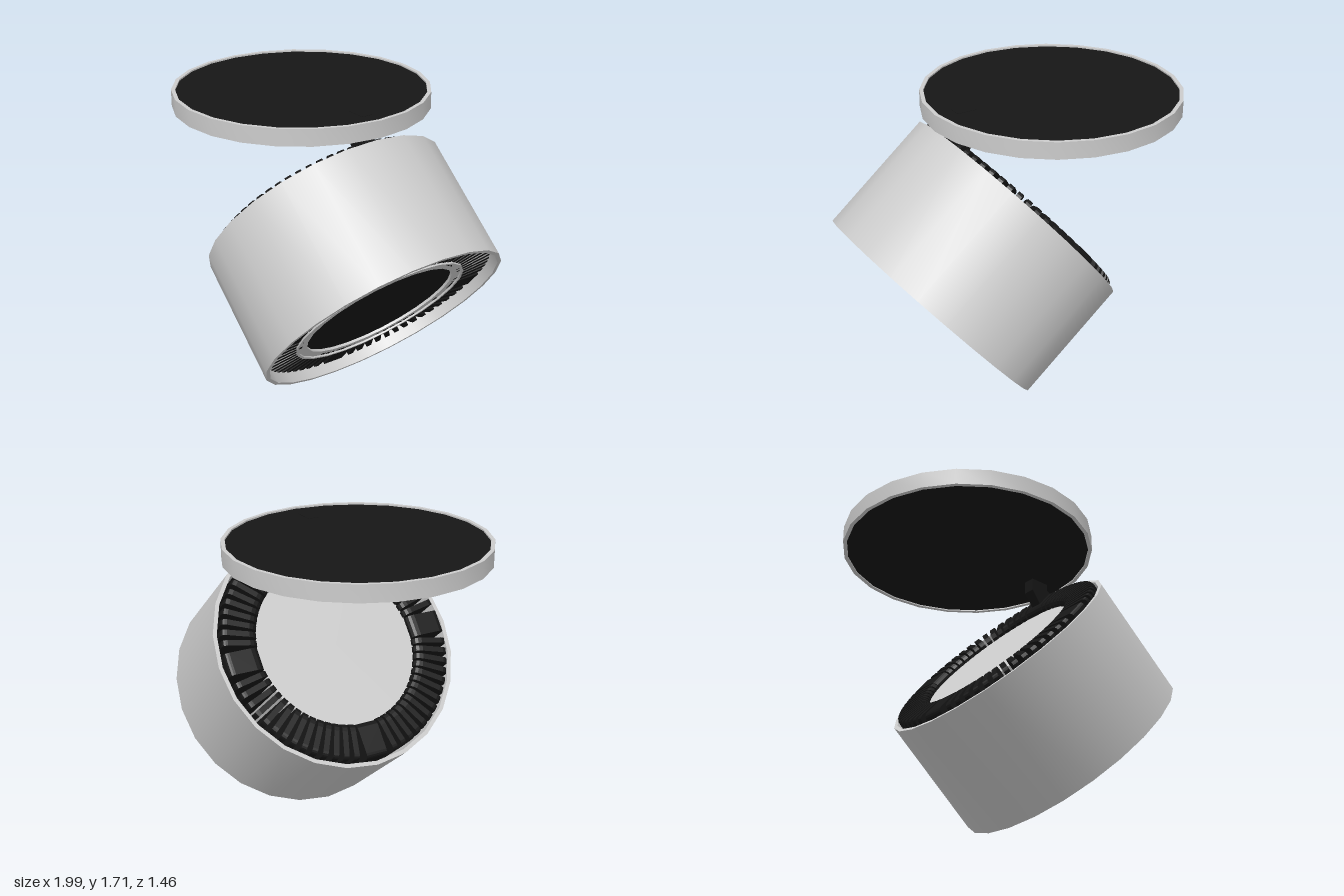
import * as THREE from 'three';
import { toCreasedNormals } from 'three/addons/utils/BufferGeometryUtils.js';

const grey = new THREE.MeshStandardMaterial({ color: 0xcccccc });
const black = new THREE.MeshStandardMaterial({ color: 0x161616 });
const SIDES = 24;

function addMesh(parent, name, geometry, material) {
  const mesh = new THREE.Mesh(geometry, material);
  mesh.name = name;
  parent.add(mesh);
  return mesh;
}

// Revolved profile with sharp rims and smooth sides
function turned(points) {
  const profile = points.map(([r, y]) => new THREE.Vector2(r, y));
  return toCreasedNormals(new THREE.LatheGeometry(profile, SIDES), 0.6);
}

// Rectangular-section band from radius r0 to r1 and height y0 to y1
function band(r0, r1, y0, y1) {
  return turned([[r0, y0], [r1, y0], [r1, y1], [r0, y1], [r0, y0]]);
}

// Flat plate in the xy plane, centred on z = 0
function plate(shape, thickness) {
  const geometry = new THREE.ExtrudeGeometry(shape, { depth: thickness, bevelEnabled: false, curveSegments: 4 });
  return geometry.translate(0, 0, -thickness / 2);
}

// Radial cooling fin: runs front to back, back corners rounded
function finShape() {
  const s = new THREE.Shape();
  s.moveTo(0.48, -0.31);
  s.lineTo(0.69, -0.31);
  s.lineTo(0.69, 0.37);
  s.quadraticCurveTo(0.69, 0.402, 0.66, 0.402);
  s.lineTo(0.53, 0.402);
  s.quadraticCurveTo(0.48, 0.402, 0.48, 0.355);
  s.closePath();
  return s;
}

function createCeilingPlate() {
  const group = new THREE.Group();
  group.name = 'ceilingPlate';
  group.position.set(-0.27, 0, 0);
  addMesh(group, 'plateRim', band(0.708, 0.73, 1.62, 1.716), grey);
  const cover = new THREE.CylinderGeometry(0.709, 0.709, 0.08, SIDES);
  addMesh(group, 'plateCover', cover, black).position.y = 1.667;
  return group;
}

function createLampHead() {
  const head = new THREE.Group();
  head.name = 'lampHead';
  addMesh(head, 'outerShell', band(0.708, 0.731, -0.3685, 0.3685), grey);

  // Inner body with the raised front bezel and closed back
  addMesh(head, 'innerBody', turned([
    [0.45, -0.28], [0.45, -0.31], [0.505, -0.31], [0.505, -0.32], [0.52, -0.32],
    [0.52, -0.26], [0.49, -0.26], [0.49, 0.358], [0, 0.358],
  ]), grey);
  const lens = new THREE.CylinderGeometry(0.452, 0.452, 0.03, SIDES);
  addMesh(head, 'lens', lens, black).position.y = -0.28;

  // Four wide ribs with a run of thin fins between each pair
  const fins = new THREE.Group();
  fins.name = 'coolingFins';
  head.add(fins);
  const thinFin = plate(finShape(), 0.032);
  const wideRib = plate(finShape(), 0.128);
  const perQuarter = 14;
  for (let q = 0; q < 4; q++) {
    const start = q * Math.PI / 2;
    addMesh(fins, 'wideRib', wideRib, black).rotation.y = start;
    for (let i = 0; i < perQuarter; i++) {
      const degrees = 10.5 + 69 * i / (perQuarter - 1);
      addMesh(fins, 'fin', thinFin, black).rotation.y = start + THREE.MathUtils.degToRad(degrees);
    }
  }

  // Local -y is the beam direction, tilted down toward +x
  head.rotation.z = THREE.MathUtils.degToRad(50);
  head.position.set(0.24, 0.8025, 0);
  return head;
}

export function createModel() {
  const model = new THREE.Group();
  model.name = 'ceilingSpotlight';
  model.add(createCeilingPlate(), createLampHead());

  // Bent bracket joining the plate to the top rib
  const bracket = new THREE.Shape([
    [0.22, 1.709], [0.22, 1.55], [0.285, 1.465], [0.33, 1.43],
    [0.42, 1.53], [0.385, 1.565], [0.34, 1.585], [0.34, 1.709],
  ].map(([x, y]) => new THREE.Vector2(x, y)));
  addMesh(model, 'bracket', plate(bracket, 0.068), black);
  return model;
}
